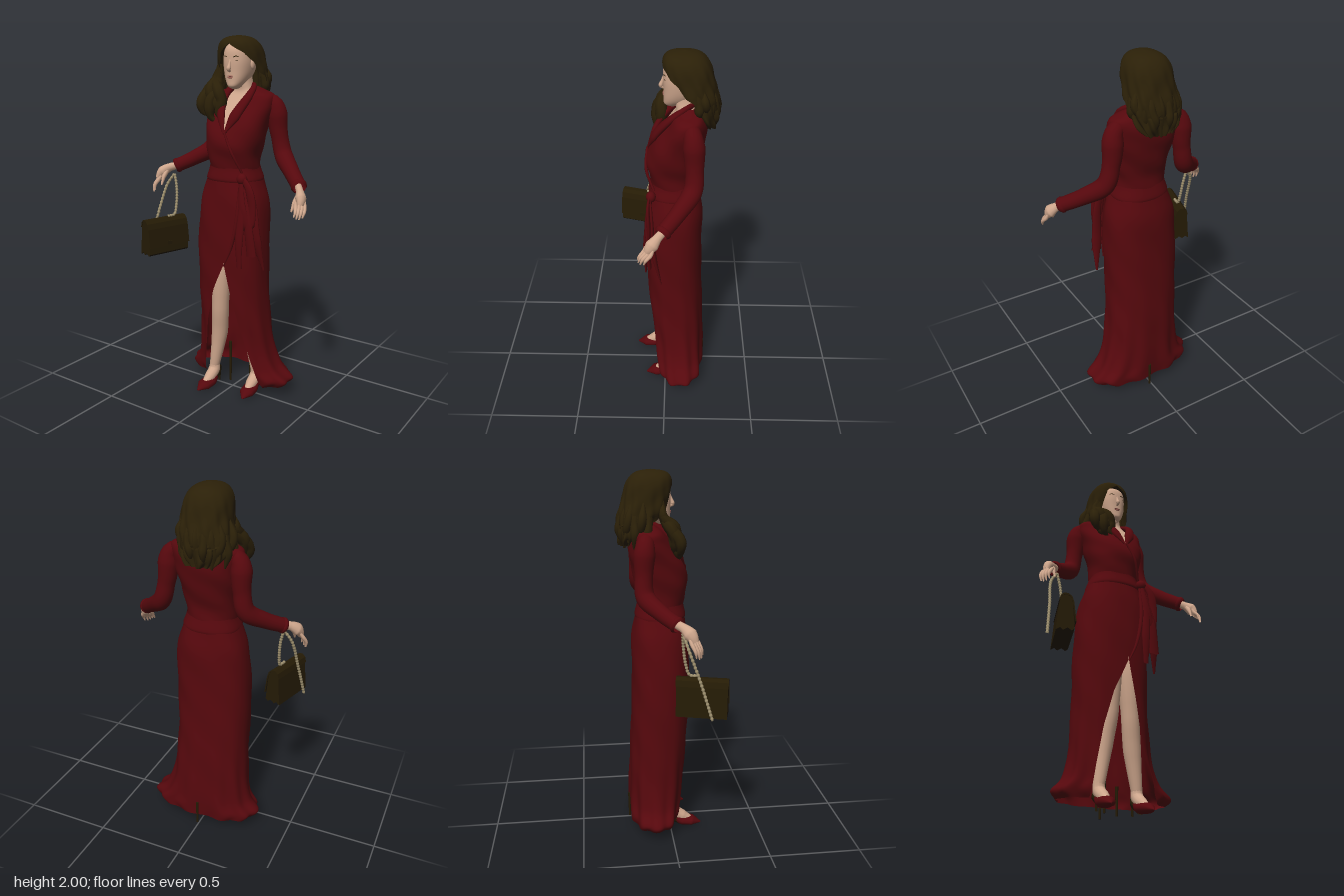
import * as THREE from 'three';
import { mergeVertices } from 'three/addons/utils/BufferGeometryUtils.js';

const mat = (name, color, side = THREE.FrontSide) => {
  const m = new THREE.MeshStandardMaterial({ color, side });
  m.name = name;
  return m;
};
const V = (p) => new THREE.Vector3(...p);

// value of a table of [key, a, b] rows, straight lines between rows
function lookup(table, y) {
  if (y <= table[0][0]) return table[0].slice(1);
  for (let i = 1; i < table.length; i++) {
    const a = table[i - 1], b = table[i];
    if (y <= b[0]) return [1, 2].map((k) => a[k] + (b[k] - a[k]) * (y - a[0]) / (b[0] - a[0]));
  }
  return table[table.length - 1].slice(1);
}

// skin over oval rings [y, xMin, xMax, zBack, zFront], bottom to top;
// gap is a table [y, xLeft, xRight] of a front opening, ripple moves the surface outwards
function loft(rows, { gap, ripple = () => 0, n = 64, sub = 6, e = 0.85 } = {}) {
  const pos = [], idx = [], last = (rows.length - 1) * sub;
  const pw = (v, p) => Math.sign(v) * Math.abs(v) ** p;
  for (let j = 0; j <= last; j++) {
    const k = Math.min(Math.floor(j / sub), rows.length - 2), t = j / sub - k;
    const [a, b, c, d] = [-1, 0, 1, 2].map((o) => rows[THREE.MathUtils.clamp(k + o, 0, rows.length - 1)]);
    const [y, x0, x1, z0, z1] = b.map((_, i) => 0.5 * (2 * b[i] + (c[i] - a[i]) * t
      + (2 * a[i] - 5 * b[i] + 4 * c[i] - d[i]) * t * t + (3 * b[i] - a[i] - 3 * c[i] + d[i]) * t ** 3));
    const cx = (x0 + x1) / 2, cz = (z0 + z1) / 2, rx = (x1 - x0) / 2, rz = (z1 - z0) / 2;
    const angle = (x) => Math.asin(pw(THREE.MathUtils.clamp((x - cx) / rx, -1, 1), 1 / e));
    const [from, to] = gap ? lookup(gap, y).map(angle).reverse() : [0, 0];
    for (let i = 0; i <= n; i++) {
      const th = from + (to + 2 * Math.PI - from) * i / n, r = ripple(th, y);
      pos.push(cx + (rx + r) * pw(Math.sin(th), e), y, cz + (rz + r) * pw(Math.cos(th), e));
      if (i < n && j < last) {
        const q = j * (n + 1) + i, u = q + n + 1;
        idx.push(q, q + 1, u + 1, q, u + 1, u);
      }
    }
  }
  let g = new THREE.BufferGeometry();
  g.setAttribute('position', new THREE.Float32BufferAttribute(pos, 3));
  g.setIndex(idx);
  g = mergeVertices(g, 1e-4);
  g.computeVertexNormals();
  return g;
}

// tube with a changing radius, squashed by the factors in flat
function limb(pts, radii, { flat = [1, 1, 1], seg = 24, n = 12, floor = -1 } = {}) {
  const curve = new THREE.CatmullRomCurve3(pts.map(V));
  const g = new THREE.TubeGeometry(curve, seg, 1, n);
  const p = g.attributes.position, v = new THREE.Vector3(), f = V(flat);
  for (let i = 0; i < p.count; i++) {
    const t = Math.floor(i / (n + 1)) / seg, s = t * (radii.length - 1);
    const k = Math.min(Math.floor(s), radii.length - 2);
    const r = THREE.MathUtils.lerp(radii[k], radii[k + 1], s - k), c = curve.getPointAt(t);
    v.fromBufferAttribute(p, i).sub(c).multiplyScalar(r).multiply(f).add(c);
    p.setXYZ(i, v.x, Math.max(v.y, floor), v.z);
  }
  g.deleteAttribute('uv');
  g.deleteAttribute('normal');
  const m = mergeVertices(g, 1e-5);
  m.computeVertexNormals();
  return m;
}

export function createModel() {
  const group = new THREE.Group();
  const red = mat('dress red', 0x56080d, THREE.DoubleSide);
  const skin = mat('skin', 0xcfa78d, THREE.DoubleSide);
  const brown = mat('hair brown', 0x2b2008, THREE.DoubleSide);
  const leather = mat('dark leather', 0x251b05, THREE.DoubleSide);
  const gold = mat('chain gold', 0xa09270);
  const lip = mat('lip rose', 0x9c5f54);
  const add = (name, geo, m, parent = group) => {
    const mesh = new THREE.Mesh(geo, m);
    mesh.name = name;
    parent.add(mesh);
    return mesh;
  };
  const ball = (name, m, p, s) => {
    const b = add(name, new THREE.SphereGeometry(1, 16, 12), m);
    b.position.set(...p);
    b.scale.set(...s);
    return b;
  };

  // long skirt with a front slit and a flared hem
  add('skirt', loft([
    [0.055, -0.285, 0.295, -0.222, 0.04], [0.095, -0.315, 0.335, -0.225, 0.052], [0.16, -0.262, 0.262, -0.225, 0.068],
    [0.28, -0.238, 0.213, -0.222, 0.08], [0.45, -0.23, 0.19, -0.217, 0.093], [0.62, -0.23, 0.18, -0.21, 0.104],
    [0.8, -0.232, 0.182, -0.203, 0.11], [0.97, -0.225, 0.185, -0.2, 0.11], [1.12, -0.207, 0.178, -0.199, 0.102],
    [1.22, -0.176, 0.15, -0.182, 0.088], [1.3, -0.148, 0.123, -0.165, 0.075]], {
    n: 120,
    gap: [[0.06, -0.165, 0.21], [0.22, -0.145, 0.15], [0.41, -0.118, 0.095], [0.6, -0.07, 0.05], [0.78, 0.012, 0.012]],
    ripple: (th, y) => Math.max(0, 1 - y / 1.1) ** 3 * 0.01 * Math.sin(11 * th + 2 * y) + 0.002 * Math.sin(5 * th + 22 * y),
  }), red);

  // wrapped bodice, open in a V
  add('bodice', loft([
    [1.29, -0.148, 0.123, -0.165, 0.075], [1.36, -0.153, 0.128, -0.165, 0.09], [1.43, -0.165, 0.145, -0.18, 0.103],
    [1.5, -0.178, 0.158, -0.195, 0.088], [1.57, -0.19, 0.172, -0.207, 0.052], [1.64, -0.205, 0.186, -0.208, 0.005],
    [1.69, -0.2, 0.182, -0.195, -0.03], [1.715, -0.12, 0.125, -0.18, -0.055], [1.735, -0.05, 0.075, -0.155, -0.07]], {
    n: 80,
    gap: [[1.5, 0.005, 0.005], [1.6, -0.035, 0.045], [1.7, -0.05, 0.075], [1.73, -0.045, 0.07]],
    ripple: (th, y) => 0.0025 * Math.sin(4 * th + 40 * y),
  }), red);
  add('lapelLeft', limb([[0.005, 1.49, 0.096], [0.055, 1.6, 0.045], [0.085, 1.69, -0.03], [0.07, 1.735, -0.1], [0.01, 1.74, -0.15]],
    [0.004, 0.03, 0.026, 0.018, 0.015], { flat: [1, 1, 0.5] }), red);
  add('lapelRight', limb([[0.005, 1.49, 0.096], [-0.045, 1.6, 0.045], [-0.065, 1.69, -0.03], [-0.05, 1.735, -0.1], [0.01, 1.74, -0.15]],
    [0.004, 0.024, 0.024, 0.018, 0.015], { flat: [1, 1, 0.5] }), red);
  add('wrapEdge', limb([[0.01, 1.5, 0.095], [0.06, 1.4, 0.1], [0.1, 1.29, 0.06]], [0.006, 0.008, 0.006], { n: 8 }), red);
  add('skirtFold', limb([[0.1, 1.25, 0.075], [0.095, 1.05, 0.1], [0.06, 0.88, 0.108], [0.012, 0.77, 0.11]], [0.008, 0.012, 0.01, 0.004], { n: 8 }), red);

  // waistband, knot and hanging ties
  add('waistband', loft([[1.235, -0.168, 0.143, -0.178, 0.088], [1.25, -0.168, 0.144, -0.18, 0.092],
    [1.29, -0.154, 0.129, -0.17, 0.083], [1.31, -0.149, 0.124, -0.165, 0.08]], { sub: 3 }), red);
  ball('knot', red, [0.11, 1.26, 0.075], [0.03, 0.03, 0.026]);
  [[[[0.11, 1.27, 0.08], [0.16, 1.22, 0.09], [0.18, 1.1, 0.085], [0.16, 1.0, 0.09], [0.13, 1.1, 0.1], [0.11, 1.25, 0.085]], [0.015, 0.025, 0.026, 0.03, 0.02, 0.012]],
    [[[0.11, 1.25, 0.085], [0.125, 1.1, 0.1], [0.115, 0.92, 0.112], [0.115, 0.775, 0.108]], [0.012, 0.022, 0.025, 0.014]],
    [[[0.12, 1.26, 0.08], [0.17, 1.15, 0.07], [0.19, 0.95, 0.06], [0.215, 0.76, 0.02]], [0.012, 0.024, 0.03, 0.006]],
    [[[0.13, 1.2, 0.085], [0.165, 1.0, 0.095], [0.18, 0.85, 0.085]], [0.012, 0.025, 0.03]],
  ].forEach(([p, r], i) => add('tie' + (i + 1), limb(p, r, { flat: [1, 1, 0.4], n: 10 }), red));

  // chest, neck and head
  add('chest', loft([[1.44, -0.13, 0.12, -0.14, 0.08], [1.53, -0.14, 0.13, -0.16, 0.062], [1.6, -0.14, 0.13, -0.17, 0.018],
    [1.67, -0.12, 0.12, -0.165, -0.03], [1.71, -0.05, 0.07, -0.15, -0.05], [1.75, -0.045, 0.052, -0.15, -0.045],
    [1.8, -0.045, 0.045, -0.15, -0.04]], { n: 40 }), skin);
  add('face', loft([[1.722, -0.022, 0.006, -0.05, -0.015], [1.735, -0.042, 0.024, -0.09, 0.008], [1.765, -0.064, 0.045, -0.13, 0.011],
    [1.81, -0.081, 0.06, -0.17, 0.012], [1.87, -0.088, 0.067, -0.19, 0.014], [1.93, -0.08, 0.06, -0.19, 0.006],
    [1.97, -0.05, 0.03, -0.15, -0.04]], { n: 40 }), skin);
  add('nose', limb([[-0.01, 1.875, 0.009], [-0.01, 1.845, 0.018], [-0.01, 1.823, 0.024], [-0.01, 1.812, 0.01]],
    [0.005, 0.008, 0.012, 0.005], { n: 8 }), skin);
  ball('upperLip', lip, [-0.01, 1.789, 0.0115], [0.019, 0.004, 0.004]);
  ball('lowerLip', lip, [-0.01, 1.781, 0.011], [0.016, 0.005, 0.004]);
  for (const s of [-1, 1]) {
    const side = s > 0 ? 'Left' : 'Right', x = -0.01 + s * 0.034;
    ball('eye' + side, leather, [x, 1.868, 0.003], [0.012, 0.004, 0.004]).rotation.y = s * 0.4;
    add('brow' + side, limb([[x - s * 0.016, 1.886, 0.011], [x, 1.891, 0.006], [x + s * 0.017, 1.885, -0.008]],
      [0.002, 0.003, 0.001], { n: 6, seg: 8 }), brown);
    ball('ear' + side, skin, [-0.01 + s * 0.08, 1.85, -0.085], [0.01, 0.028, 0.017]);
  }

  // hair: main body swept back from the face, then loose curls
  add('hair', loft([
    [1.62, -0.09, 0.05, -0.25, -0.17], [1.66, -0.135, 0.085, -0.26, -0.13], [1.72, -0.155, 0.105, -0.262, -0.07],
    [1.78, -0.155, 0.113, -0.258, -0.02], [1.85, -0.145, 0.108, -0.24, 0.005], [1.92, -0.137, 0.098, -0.222, 0.018],
    [1.965, -0.115, 0.075, -0.195, 0.012], [1.99, -0.075, 0.035, -0.155, -0.02], [2, -0.0201, -0.0199, -0.0901, -0.0899]], {
    n: 100,
    gap: [[1.72, -0.155, 0.113], [1.79, -0.095, 0.113], [1.86, -0.084, 0.098], [1.91, -0.072, 0.062], [1.955, -0.015, -0.015]],
    ripple: (th, y) => Math.max(0, 1.97 - y) * (0.025 * Math.sin(13 * th + 25 * y) + 0.015 * Math.sin(7 * th - 40 * y)),
  }), brown);
  for (let i = 0; i < 6; i++) { // front curls over the right shoulder
    const x = -0.165 + i * 0.018, w = (k) => 0.014 * Math.sin(i * 2.1 + k * 1.9), end = 1.605 - 0.01 * (i % 4);
    add('frontCurl' + i, limb([[-0.11 - w(1) * 0.6, 1.85, -0.04], [-0.125 + w(0), 1.77, -0.035], [x + w(1), 1.71, 0.01 + w(2)],
      [x + w(2) + 0.002, 1.655, 0.03 + w(4)], [x + 0.008 + w(3), end, 0.035 + w(1)], [x + 0.022, end - 0.022, 0.04]],
    [0.008, 0.02, 0.03, 0.032, 0.03, 0.01], { n: 8 }), brown);
  }
  for (let i = 0; i < 11; i++) { // curls round the sides and back, shorter on the left
    const a = Math.PI * (0.56 + 1.02 * i / 10), s = Math.sin(a), c = Math.cos(a), w = i % 2 ? 0.012 : -0.008;
    const drop = i < 3 ? 0.07 - 0.02 * i : 0;
    add('backCurl' + i, limb([[-0.02 + 0.12 * s, 1.84, -0.13 + 0.1 * c], [-0.025 + (0.13 + w) * s, 1.75 + drop * 0.4, -0.14 + 0.11 * c],
      [-0.03 + (0.125 - w) * s, 1.69 + drop * 0.7, -0.145 + (0.105 + w) * c], [-0.03 + 0.118 * s, 1.625 + drop + w * 1.5, -0.15 + 0.098 * c]],
    [0.006, 0.022, 0.024, 0.005], { n: 8, seg: 16 }), brown);
  }

  // sleeves, cuffs and hands
  const arms = {
    Right: { sleeve: [[-0.14, 1.67, -0.12], [-0.196, 1.64, -0.135], [-0.212, 1.5, -0.145], [-0.235, 1.385, -0.14], [-0.31, 1.325, -0.075], [-0.395, 1.275, 0.005]],
      palm: [[-0.385, 1.28, 0], [-0.425, 1.265, 0.035], [-0.455, 1.235, 0.065], [-0.465, 1.205, 0.08]], dir: [-0.015, -0.075, 0.025] },
    Left: { sleeve: [[0.12, 1.67, -0.12], [0.178, 1.64, -0.135], [0.2, 1.5, -0.145], [0.235, 1.375, -0.14], [0.32, 1.305, -0.075], [0.42, 1.24, 0.01]],
      palm: [[0.41, 1.245, 0.005], [0.437, 1.22, 0.035], [0.46, 1.185, 0.065], [0.465, 1.16, 0.08]], dir: [0.008, -0.06, 0.04] },
  };
  for (const [side, { sleeve, palm, dir }] of Object.entries(arms)) {
    const s = side === 'Left' ? 1 : -1, [ex, ey, ez] = palm[3], [dx, dy, dz] = dir;
    add('sleeve' + side, limb(sleeve, [0.035, 0.056, 0.046, 0.05, 0.042, 0.038], { seg: 36, n: 18 }), red);
    add('cuff' + side, limb([0.8, 1.04].map((t) => V(sleeve[4]).lerp(V(sleeve[5]), t).toArray()),
      [0.036, 0.043, 0.043, 0.034], { seg: 8 }), red);
    add('palm' + side, limb(palm, [0.022, 0.024, 0.035, 0.02], { flat: [0.75, 1, 1] }), skin);
    for (let f = 0; f < 4; f++) {
      const o = (f - 1.5) * 0.015, k = [0.85, 1, 0.95, 0.75][f], b = [ex - o * 0.7 * s, ey - Math.abs(o) * 0.2, ez + o * 0.8];
      add('finger' + side + f, limb([[b[0] - dx, b[1] + 0.025, b[2] - 0.01], b, [b[0] + dx * 0.8 * k + s * 0.005, b[1] + dy * 0.5 * k, b[2] + dz * 0.7 * k],
        [b[0] + dx * k, b[1] + dy * k, b[2] + dz * k]], [0.008, 0.011, 0.009, 0.004], { n: 8, seg: 12 }), skin);
    }
    add('thumb' + side, limb([palm[1], [palm[2][0] - s * 0.03, palm[2][1] - 0.01, palm[2][2] + 0.01], [ex - s * 0.04, ey - 0.03, ez + 0.02]],
      [0.014, 0.013, 0.005], { n: 8, seg: 12 }), skin);
  }

  // legs and pointed shoes
  const legs = { Right: [[-0.05, 0.95, -0.02], [-0.06, 0.7, 0.025], [-0.065, 0.5, 0.03], [-0.085, 0.33, 0.01], [-0.115, 0.12, 0.02]],
    Left: [[0.07, 0.95, -0.05], [0.075, 0.7, -0.02], [0.085, 0.5, -0.02], [0.105, 0.33, -0.04], [0.132, 0.12, -0.045]] };
  for (const [side, pts] of Object.entries(legs)) {
    const [x, y, z] = pts[4], s = Math.sign(x), at = (dx, py, dz) => [x + s * dx, py, z + dz];
    add('leg' + side, limb(pts, [0.075, 0.068, 0.05, 0.048, 0.03], { n: 16 }), skin);
    add('foot' + side, limb([at(0, y + 0.02, 0), at(0, 0.09, 0.005), at(0, 0.055, 0.05), at(0.003, 0.03, 0.1)], [0.028, 0.034, 0.032, 0.018]), skin);
    add('shoeToe' + side, limb([at(0, 0.055, 0.01), at(0, 0.03, 0.05), at(0.004, 0.022, 0.1), at(0.01, 0.008, 0.158)],
      [0.03, 0.044, 0.042, 0.005], { flat: [1, 0.65, 1], floor: 0 }), red);
    add('shoeBack' + side, limb([at(0, 0.1, -0.035), at(0, 0.075, -0.022), at(0, 0.045, 0.02), at(0, 0.022, 0.05)],
      [0.014, 0.031, 0.032, 0.028], { floor: 0 }), leather);
    add('heel' + side, limb([at(-0.003, 0.09, -0.03), at(-0.006, 0.04, -0.037), at(-0.006, 0, -0.037)], [0.02, 0.008, 0.006], { n: 8 }), leather);
  }
  // thin dark stems below the hem
  [[-0.05, 0.25, -0.05], [0.01, 0.15, -0.225], [0.05, 0.15, -0.11]].forEach(([x, h, z], i) => {
    add('stem' + i, new THREE.CylinderGeometry(0.009, 0.006, h, 8), leather).position.set(x, h / 2, z);
  });

  // handbag with a pleated body, flap and clasp
  const bag = new THREE.Group();
  bag.name = 'handbag';
  bag.position.set(-0.345, 0.795, 0.008);
  bag.rotation.y = -0.28;
  group.add(bag);
  const prism = (pts, depth) => new THREE.ExtrudeGeometry(new THREE.Shape(pts.map((p) => new THREE.Vector2(...p))), { depth, bevelEnabled: false });
  add('bagBody', prism([[-0.048, 0], [-0.028, 0.014], [-0.012, 0], [0.01, 0.014], [0.03, 0], [0.044, 0.012],
    [0.03, 0.16], [0.016, 0.19], [-0.018, 0.195], [-0.034, 0.16]], 0.262), leather, bag);
  add('bagFlap', prism([[0.047, 0.05], [0.052, 0.05], [0.038, 0.155], [0.028, 0.185], [0.01, 0.202], [-0.014, 0.204], [-0.03, 0.19],
    [-0.038, 0.16], [-0.034, 0.16], [-0.018, 0.195], [0.016, 0.19], [0.03, 0.16]], 0.268), leather, bag).position.z = -0.003;
  add('clasp', new THREE.BoxGeometry(0.006, 0.02, 0.03), leather, bag).position.set(0.051, 0.065, 0.131);

  // chain straps, thickened link by link
  const chain = (name, pts, links) => add(name, limb(pts,
    Array.from({ length: links * 2 + 1 }, (_, i) => i % 2 ? 0.0095 : 0.006), { seg: links * 4, n: 7 }), gold);
  chain('chainOuter', [[-0.385, 1.235, 0.03], [-0.425, 1.17, 0.05], [-0.45, 1, 0.11], [-0.478, 0.8, 0.17]], 24);
  chain('chainInner', [[-0.385, 1.235, 0.03], [-0.368, 1.16, 0.035], [-0.36, 1.06, 0.05], [-0.36, 1.007, 0.07], [-0.37, 1.003, 0.12]], 17);
  return group;
}
